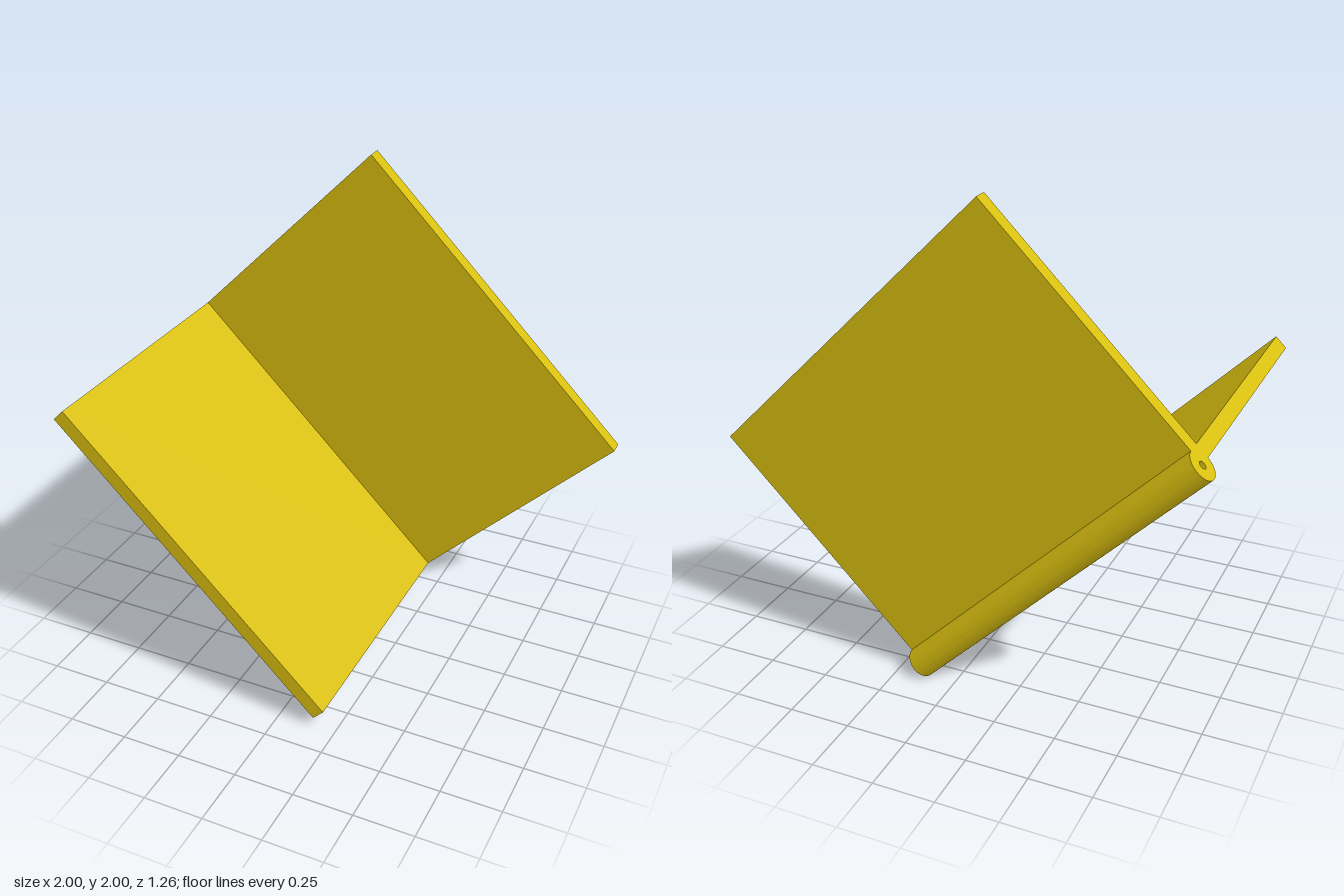
import * as THREE from 'three';
import { toCreasedNormals } from 'three/addons/utils/BufferGeometryUtils.js';

const R = 0.0629;      // barrel radius, also leaf thickness
const REACH = 1.1943;  // leaf reach from the pin axis
const LENGTH = 1.5713; // hinge length along the axis
const HOLE = 0.016;    // pin hole radius

export function createModel() {
  const brass = new THREE.MeshStandardMaterial({ color: 0xd9bf0f });
  brass.name = 'brass yellow';

  // Local frame: x up the tilted leaf, y towards the front, z along the pin axis
  const hinge = new THREE.Group();
  hinge.name = 'hinge';
  const addPart = (name, shape) => {
    const geometry = new THREE.ExtrudeGeometry(shape, { depth: LENGTH, bevelEnabled: false, curveSegments: 32 });
    const mesh = new THREE.Mesh(toCreasedNormals(geometry, 0.6), brass);
    mesh.name = name;
    hinge.add(mesh);
  };
  const rectangle = (x0, y0, x1, y1) => new THREE.Shape([
    new THREE.Vector2(x0, y0), new THREE.Vector2(x1, y0),
    new THREE.Vector2(x1, y1), new THREE.Vector2(x0, y1),
  ]);

  // Barrel: three quarters round, square where the leaves meet, bored through
  const barrel = new THREE.Shape();
  barrel.moveTo(R, R);
  barrel.lineTo(0, R);
  barrel.absarc(0, 0, R, Math.PI / 2, Math.PI * 2, false);
  barrel.closePath();
  const bore = new THREE.Path();
  bore.absarc(0, 0, HOLE, 0, Math.PI * 2, true);
  barrel.holes.push(bore);
  addPart('barrel', barrel);

  // Two leaves at a right angle
  addPart('backLeaf', rectangle(R, 0, REACH, R));
  addPart('frontLeaf', rectangle(0, R, R, REACH));

  // Tilt the hinge 45 degrees and set its lowest edge on the ground
  const s = Math.SQRT1_2;
  const frame = new THREE.Matrix4().makeBasis(
    new THREE.Vector3(s, s, 0), new THREE.Vector3(0, 0, 1), new THREE.Vector3(s, -s, 0));
  hinge.quaternion.setFromRotationMatrix(frame);
  hinge.position.set(-1 + R * s, (R + LENGTH) * s, (R - REACH) / 2);

  const model = new THREE.Group();
  model.name = 'openHinge';
  model.add(hinge);
  return model;
}
